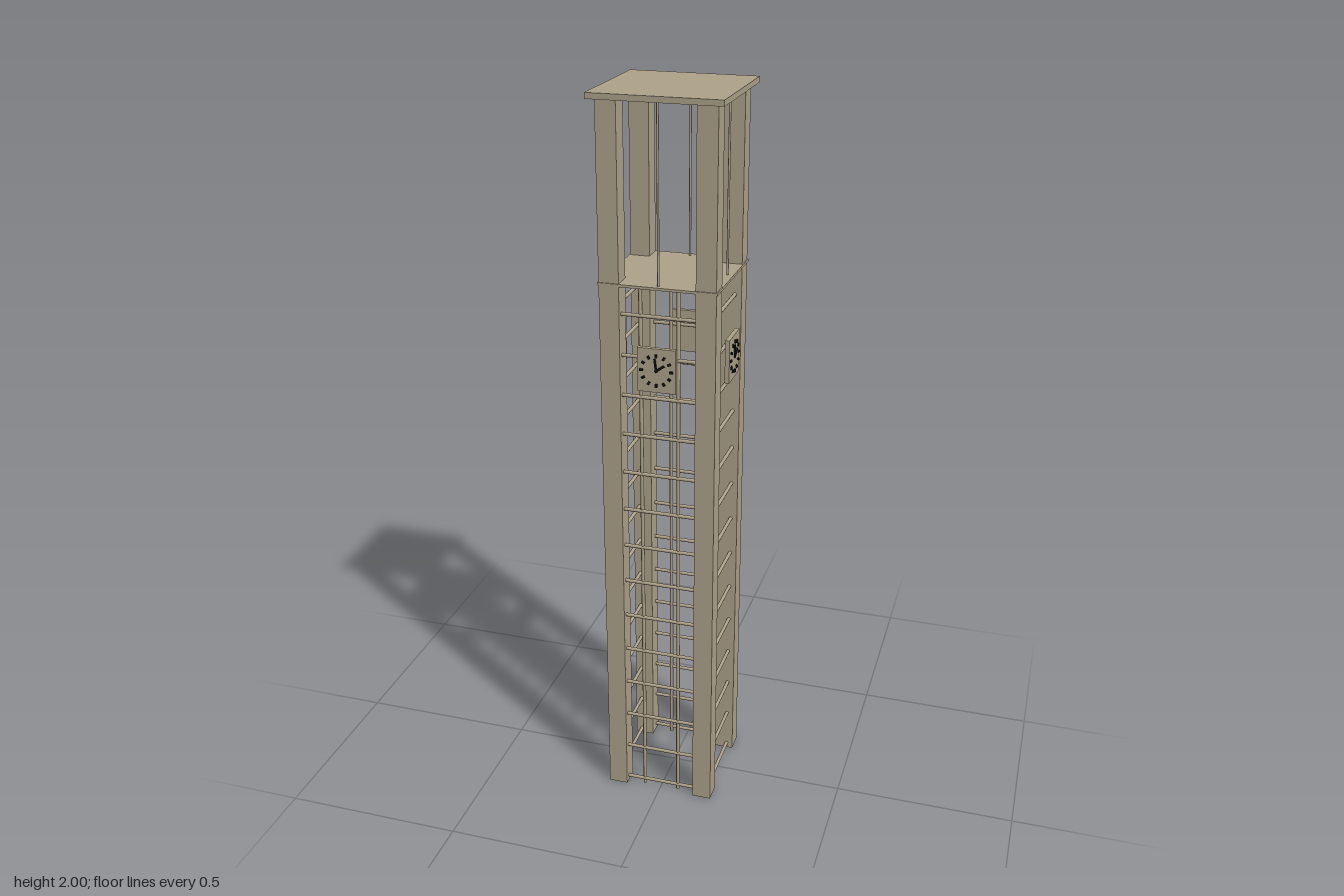
import * as THREE from 'three';

export function createModel() {
  const stone = new THREE.MeshStandardMaterial({ color: 0xada28a });
  stone.name = 'sandstone';
  const black = new THREE.MeshStandardMaterial({ color: 0x14130f });
  black.name = 'clockBlack';

  const tower = new THREE.Group();
  tower.name = 'clockTower';

  function box(parent, name, size, pos, mat = stone) {
    const m = new THREE.Mesh(new THREE.BoxGeometry(...size), mat);
    m.name = name;
    m.position.set(...pos);
    parent.add(m);
    return m;
  }
  function rod(parent, name, radius, length, pos, alongX = false) {
    const g = new THREE.CylinderGeometry(radius, radius, length, 10);
    if (alongX) g.rotateZ(Math.PI / 2);
    const m = new THREE.Mesh(g, stone);
    m.name = name;
    m.position.set(...pos);
    parent.add(m);
  }

  // Corner posts
  for (const x of [-1, 1]) for (const z of [-1, 1])
    box(tower, 'cornerPost', [0.053, 1.985, 0.053], [x * 0.1265, 0.9925, z * 0.1265]);

  // Roof slab and belfry floor
  box(tower, 'roof', [0.342, 0.015, 0.342], [0, 1.9925, 0]);
  box(tower, 'belfryFloor', [0.312, 0.007, 0.312], [0, 1.5285, 0]);

  // Clock: plate, hour marks and two hands, facing +z
  function makeClock() {
    const clock = new THREE.Group();
    clock.name = 'clock';
    box(clock, 'clockPlate', [0.102, 0.118, 0.012], [0, 0, 0]);
    for (let i = 0; i < 12; i++) {
      const a = (i * Math.PI) / 6;
      const mark = box(clock, 'hourMark', [0.006, 0.009, 0.006],
        [Math.sin(a) * 0.04, Math.cos(a) * 0.04, 0.007], black);
      mark.rotation.z = -a;
    }
    const hand = (name, angle, length, width) => {
      const pivot = new THREE.Group();
      pivot.name = name;
      pivot.rotation.z = -angle;
      box(pivot, name + 'Blade', [width, length, 0.004], [0, length / 2 - 0.004, 0.008], black);
      clock.add(pivot);
    };
    hand('minuteHand', -0.12, 0.036, 0.005);
    hand('hourHand', 0.95, 0.03, 0.006);
    return clock;
  }

  // Four sides: rungs, belfry rod and clock; uprights on front and back only
  for (let s = 0; s < 4; s++) {
    const side = new THREE.Group();
    side.name = ['frontSide', 'leftSide', 'backSide', 'rightSide'][s];
    side.rotation.y = (s * Math.PI) / 2;
    for (let i = 0; i < 14; i++)
      rod(side, 'rung', 0.005, 0.21, [0, 0.016 + i * 0.1102, 0.135], true);
    if (s % 2 === 0)
      for (const x of [-0.05, 0.05]) rod(side, 'upright', 0.005, 1.525, [x, 0.7625, 0.133]);
    rod(side, 'belfryRod', 0.003, 0.455, [0, 1.7585, 0.14]);
    const clock = makeClock();
    clock.position.set(0, 1.315, 0.156);
    side.add(clock);
    tower.add(side);
  }
  return tower;
}
